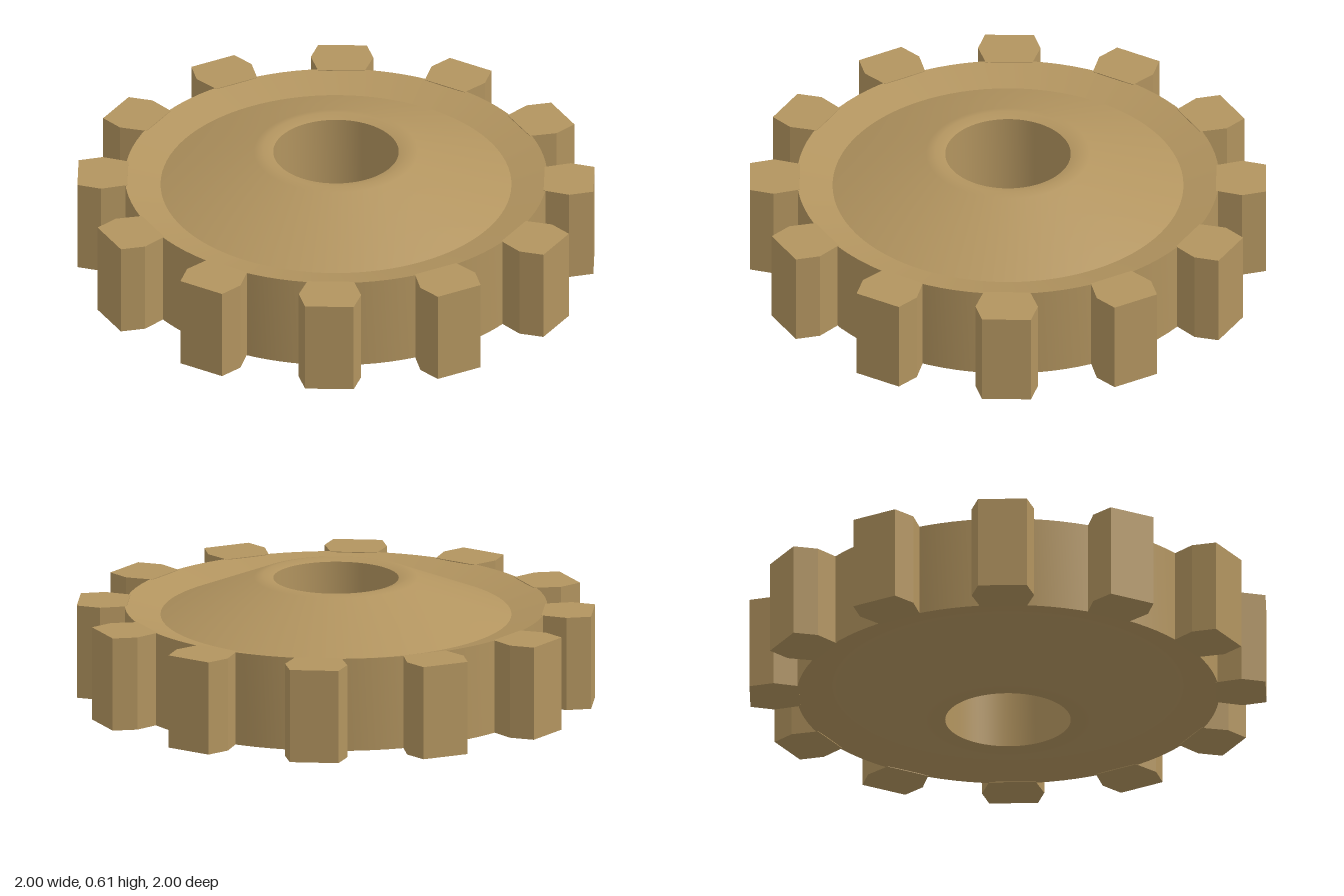
import * as THREE from 'three';
import { toCreasedNormals } from 'three/addons/utils/BufferGeometryUtils.js';

const MID = 0.306; // height of the symmetry plane
const HALF = 0.186; // half thickness of the rim and teeth
const TEETH = 12;
const deg = THREE.MathUtils.degToRad;

// Lathed body: rim, shallow groove, cone rising to a rounded crest, bore
function bodyGeometry() {
  const upper = [
    [0.825, HALF], [0.685, 0.149], [0.32, 0.298],
    [0.285, 0.306], [0.245, 0.296],
  ];
  const lower = upper.map(([r, h]) => [r, -h]).reverse();
  const ring = [...upper, ...lower, upper[0]];
  const points = ring.map(([r, h]) => new THREE.Vector2(r, MID + h));
  return toCreasedNormals(new THREE.LatheGeometry(points, 96), 0.5);
}

// One tooth: bulging flanks that taper to a flat tip
function toothGeometry() {
  const half = [[0.818, 6.4], [0.922, 7.6], [1.012, 5.4]]; // radius, half angle
  const corner = (r, a) => new THREE.Vector2(r * Math.cos(deg(a)), r * Math.sin(deg(a)));
  const shape = new THREE.Shape([
    ...half.map(([r, a]) => corner(r, -a)),
    ...half.map(([r, a]) => corner(r, a)).reverse(),
  ]);
  const geometry = new THREE.ExtrudeGeometry(shape, { depth: 2 * HALF, bevelEnabled: false });
  geometry.rotateX(-Math.PI / 2);
  geometry.translate(0, MID - HALF, 0);
  return geometry;
}

export function createModel() {
  const gear = new THREE.Group();
  gear.name = 'gear';
  const material = new THREE.MeshStandardMaterial({ color: 0xb2945f });

  const body = new THREE.Mesh(bodyGeometry(), material);
  body.name = 'gearBody';
  gear.add(body);

  const teeth = new THREE.Group();
  teeth.name = 'teeth';
  const geometry = toothGeometry();
  for (let i = 0; i < TEETH; i++) {
    const tooth = new THREE.Mesh(geometry, material);
    tooth.name = `tooth${i + 1}`;
    tooth.rotation.y = deg(14.1) + (i * 2 * Math.PI) / TEETH;
    teeth.add(tooth);
  }
  gear.add(teeth);
  return gear;
}
